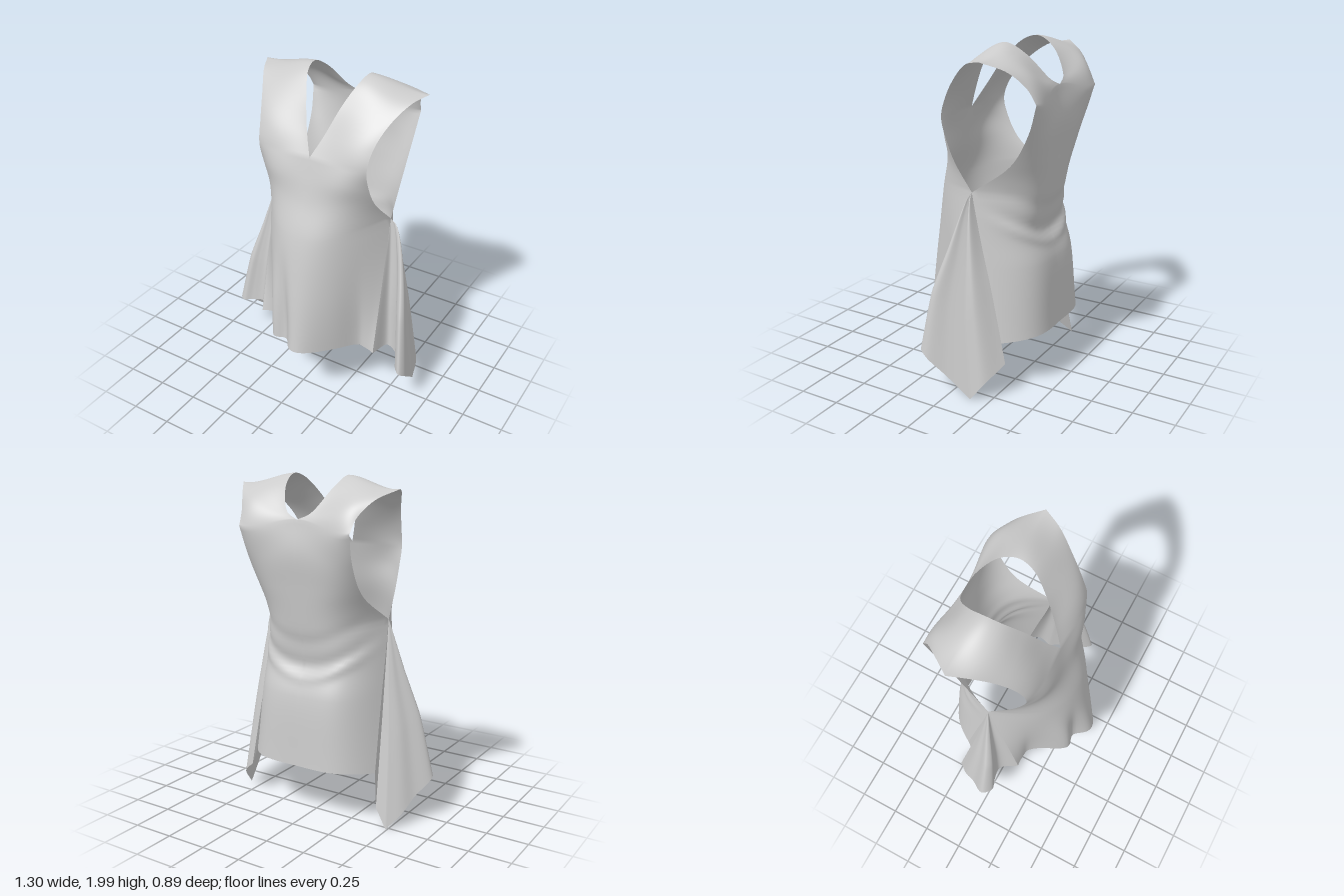
import * as THREE from 'three';
import { mergeGeometries, mergeVertices } from 'three/addons/utils/BufferGeometryUtils.js';

const CENTRE = 0.02;
const cloth = new THREE.MeshStandardMaterial({ color: 0xcccccc, side: THREE.DoubleSide });

// Smooth runs of points that meet in sharp corners; t counts the points passed
function line(...runs) {
  const parts = runs.map((r) => new THREE.CatmullRomCurve3(r.map((p) => new THREE.Vector3(...p))));
  return (t) => {
    let k = 0;
    while (k < parts.length - 1 && t > parts[k].points.length - 1) t -= parts[k++].points.length - 1;
    return parts[k].getPoint(Math.min(1, t / (parts[k].points.length - 1)));
  };
}

// Lines running from the front hem, over the shoulder, to the back hem.
// Centre line, opening into the neckline
const vTip = [0, 1.58, 0.183], neckBack = [0, 1.762, -0.392];
const inner = line(
  [[0, 0.40, 0.443], [0, 0.77, 0.39], [0, 1.12, 0.32], [0, 1.32, 0.25], [0, 1.46, 0.215], vTip],
  [vTip, [0.055, 1.70, 0.12], [0.115, 1.86, 0.03], [0.165, 1.97, -0.07], [0.178, 1.995, -0.16],
    [0.158, 1.935, -0.27], [0.078, 1.80, -0.373], neckBack],
  [neckBack, [0, 1.58, -0.42], [0, 1.38, -0.40], [0, 1.13, -0.37], [0, 0.93, -0.345],
    [0, 0.75, -0.40], [0, 0.34, -0.43]]);
// Middle of each half
const middle = line([
  [0.21, 0.385, 0.275], [0.21, 0.76, 0.275], [0.21, 1.15, 0.245], [0.19, 1.34, 0.225], [0.18, 1.47, 0.222],
  [0.18, 1.58, 0.192], [0.20, 1.70, 0.14], [0.26, 1.835, 0.05], [0.31, 1.935, -0.06],
  [0.34, 1.96, -0.18], [0.31, 1.92, -0.29], [0.25, 1.82, -0.39], [0.20, 1.72, -0.425],
  [0.19, 1.55, -0.425], [0.19, 1.37, -0.395], [0.21, 1.15, -0.34], [0.22, 0.93, -0.33],
  [0.22, 0.75, -0.38], [0.22, 0.34, -0.42]]);
// Side seam and armhole
const armpit = [0.395, 1.19, -0.06], shoulderTip = [0.525, 1.935, -0.19], backCorner = [0.365, 1.71, -0.44];
const outer = line(
  [[0.41, 0.33, 0.13], [0.405, 0.75, 0.04], armpit],
  [armpit, [0.36, 1.34, 0.075], [0.35, 1.46, 0.135], [0.35, 1.58, 0.165], [0.365, 1.70, 0.125],
    [0.41, 1.82, 0.035], [0.475, 1.91, -0.08], shoulderTip],
  [shoulderTip, [0.44, 1.88, -0.31], [0.38, 1.79, -0.395], backCorner],
  [backCorner, [0.35, 1.54, -0.385], [0.35, 1.36, -0.28], armpit],
  [armpit, [0.40, 0.93, -0.11], [0.405, 0.75, -0.15], [0.42, 0.32, -0.24]]);
const LAST = 18, FRONT_ARMPIT = 2, BACK_ARMPIT = 15;

// Hems of the hanging side pieces, from the front seam to the back seam
const frontSeam = outer(0).toArray(), backSeam = outer(LAST).toArray();
const leftTip = [0.565, 0.005, -0.14], leftBack = [0.43, 0.21, -0.295];
const rightTip = [0.51, 0.005, -0.27], rightBack = [0.42, 0.10, -0.225];
const hems = {
  left: line([frontSeam, [0.445, 0.32, 0.0], [0.52, 0.30, 0.03], [0.565, 0.285, 0.13], [0.605, 0.275, 0.165],
    [0.63, 0.24, 0.12], [0.595, 0.13, 0.0], leftTip], [leftTip, [0.545, 0.11, -0.22], leftBack], [leftBack, backSeam]),
  right: line([frontSeam, [0.48, 0.32, 0.03], [0.56, 0.30, 0.035], [0.62, 0.285, 0.05], [0.67, 0.27, 0.0],
    [0.61, 0.17, -0.11], [0.575, 0.09, -0.19], rightTip], [rightTip, rightBack], [rightBack, backSeam]),
};

// Sheet of quads from a rule (u, v) -> point
function sheet(nu, nv, rule, flip) {
  const pos = [], idx = [];
  for (let j = 0; j <= nv; j++) for (let i = 0; i <= nu; i++) pos.push(...rule(i / nu, j / nv).toArray());
  for (let j = 0; j < nv; j++) for (let i = 0; i < nu; i++) {
    const a = j * (nu + 1) + i, b = a + 1, c = a + nu + 1, d = c + 1;
    idx.push(...(flip ? [a, c, b, b, c, d] : [a, b, c, b, d, c]));
  }
  const g = new THREE.BufferGeometry();
  g.setAttribute('position', new THREE.Float32BufferAttribute(pos, 3));
  g.setIndex(idx);
  return g;
}

const bell = (x, c, w) => Math.exp(-(((x - c) / w) ** 2));

// Cross-section through three points, level at the centre line
function section(a, m, b, u) {
  const dm = m - a, db = b - a;
  return a + (8 * dm - db) * u * u + (2 * db - 8 * dm) * u * u * u;
}

// One half of the body, with hem folds and a crease across the small of the back
function bodyHalf(s) {
  return sheet(28, 144, (u, v) => {
    const t = v * LAST, a = inner(t), m = middle(t), b = outer(t);
    const x = Math.max(0, a.x) * (1 - u) * (1 - 2 * u) + m.x * 4 * u * (1 - u) + b.x * u * (2 * u - 1);
    const y = section(a.y, m.y, b.y, u);
    let z = section(a.z, m.z, b.z, u), shift = 0;
    if (t < 4) {
      const low = THREE.MathUtils.smoothstep(1.1 - y, 0, 0.7);
      const w = low * Math.min(1, 5 * u) * Math.min(1, 4 * (1 - u));
      z -= w * 0.03 * bell(x, 0.3, 0.06);
      if (s < 0) z += w * (0.055 * bell(x, 0.19, 0.055) - 0.045 * bell(x, 0.09, 0.05));
      shift = 0.035 * low * (1 - u);
    } else if (t > 14) {
      const sag = y - 0.9 - 1.2 * x * x;
      z += Math.min(1, 4 * (1 - u)) * (0.01 * bell(sag, 0.03, 0.035) - 0.01 * bell(sag, -0.04, 0.03)
        + 0.006 * bell(sag, 0.17, 0.04));
    }
    return new THREE.Vector3(CENTRE + shift + s * x, y, z);
  }, s < 0);
}

// Triangular side piece hanging in folds from the armpit
function sidePiece(s, hem, points, fullness) {
  const f1 = outer(0), b1 = outer(LAST);
  return sheet(points * 8, 40, (u, v) => {
    const front = outer(FRONT_ARMPIT * (1 - v));
    const back = outer(BACK_ARMPIT + 1e-6 + (LAST - BACK_ARMPIT) * v);
    const drape = hem(u * points).sub(f1.clone().lerp(b1, u));
    const p = front.lerp(back, u);
    p.x = CENTRE + s * (p.x + drape.x * v ** fullness);
    p.y += drape.y * v;
    p.z += drape.z * v;
    return p;
  }, s > 0);
}

function addCloth(group, name, geometry) {
  geometry.computeVertexNormals();
  const mesh = new THREE.Mesh(geometry, cloth);
  mesh.name = name;
  group.add(mesh);
}

export function createModel() {
  const group = new THREE.Group();
  group.name = 'sleevelessTunic';
  addCloth(group, 'tunicBody', mergeVertices(mergeGeometries([bodyHalf(1), bodyHalf(-1)]), 1e-4));
  addCloth(group, 'leftSidePiece', sidePiece(1, hems.left, 10, 0.48));
  addCloth(group, 'rightSidePiece', sidePiece(-1, hems.right, 9, 0.95));
  return group;
}
